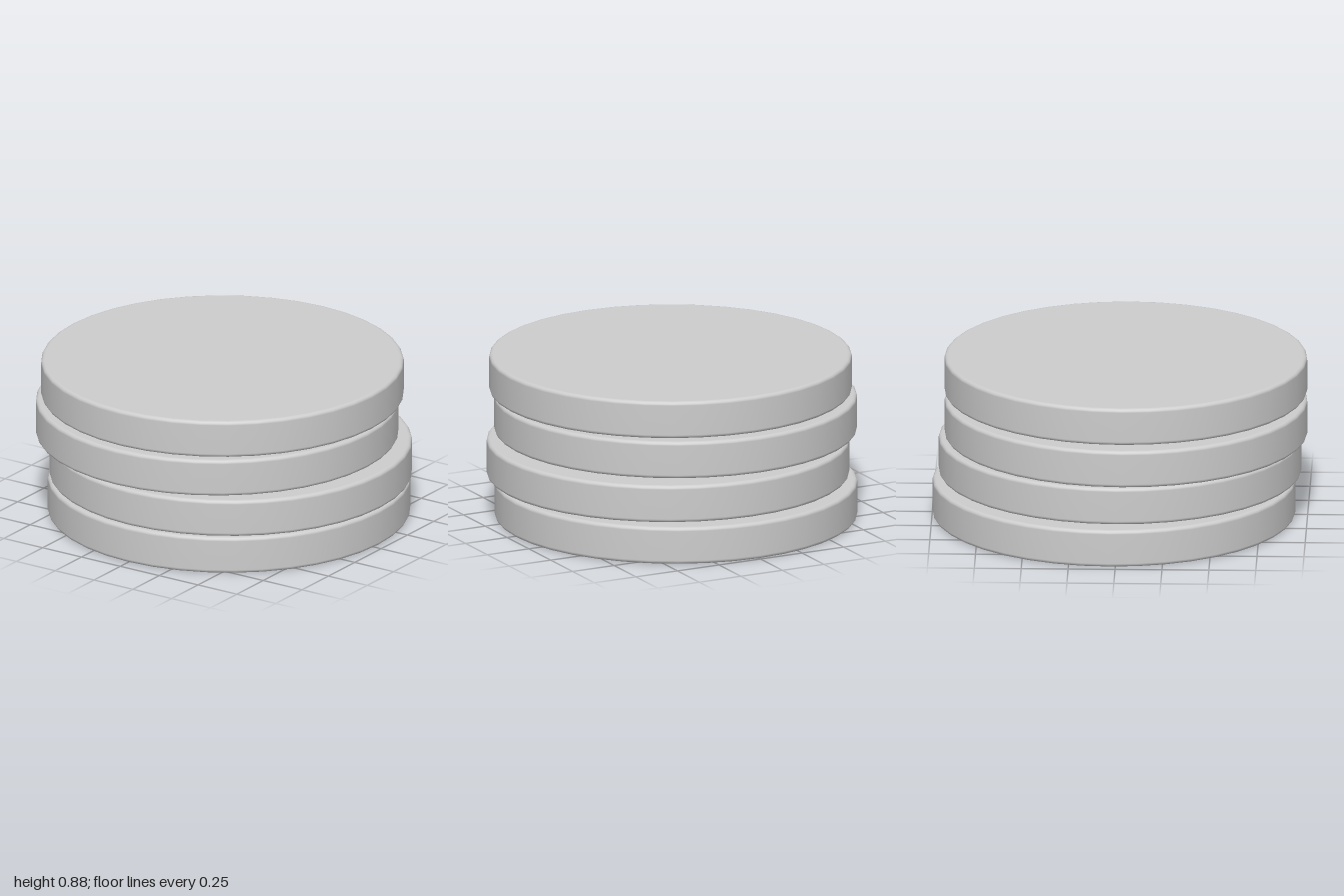
import * as THREE from 'three';

export function createModel() {
  const group = new THREE.Group();
  group.name = 'discStack';
  const grey = new THREE.MeshStandardMaterial({ color: 0xcccccc });
  grey.name = 'light grey';

  // Disc profile from the axis: flat bottom, rounded rims, flat top
  const radius = 0.967, height = 0.203, round = 0.02, pitch = 0.2265;
  const profile = [new THREE.Vector2(0, 0), new THREE.Vector2(radius - round - 0.002, 0)];
  const rim = (cy, start) => {
    for (let i = 0; i <= 4; i++) {
      const a = start + (i / 4) * Math.PI / 2;
      profile.push(new THREE.Vector2(radius - round + round * Math.cos(a), cy + round * Math.sin(a)));
    }
  };
  rim(round, -Math.PI / 2);
  rim(height - round, 0);
  profile.push(new THREE.Vector2(radius - round - 0.002, height), new THREE.Vector2(0, height));
  const geometry = new THREE.LatheGeometry(profile, 40);

  // Four discs, bottom to top, each slightly off centre in x and z
  const offsets = [[0, -0.032], [0.032, 0], [-0.032, 0.033], [0, 0.031]];
  offsets.forEach(([x, z], i) => {
    const disc = new THREE.Mesh(geometry, grey);
    disc.name = `disc${i + 1}`;
    disc.position.set(x, i * pitch, z);
    group.add(disc);
  });
  return group;
}
